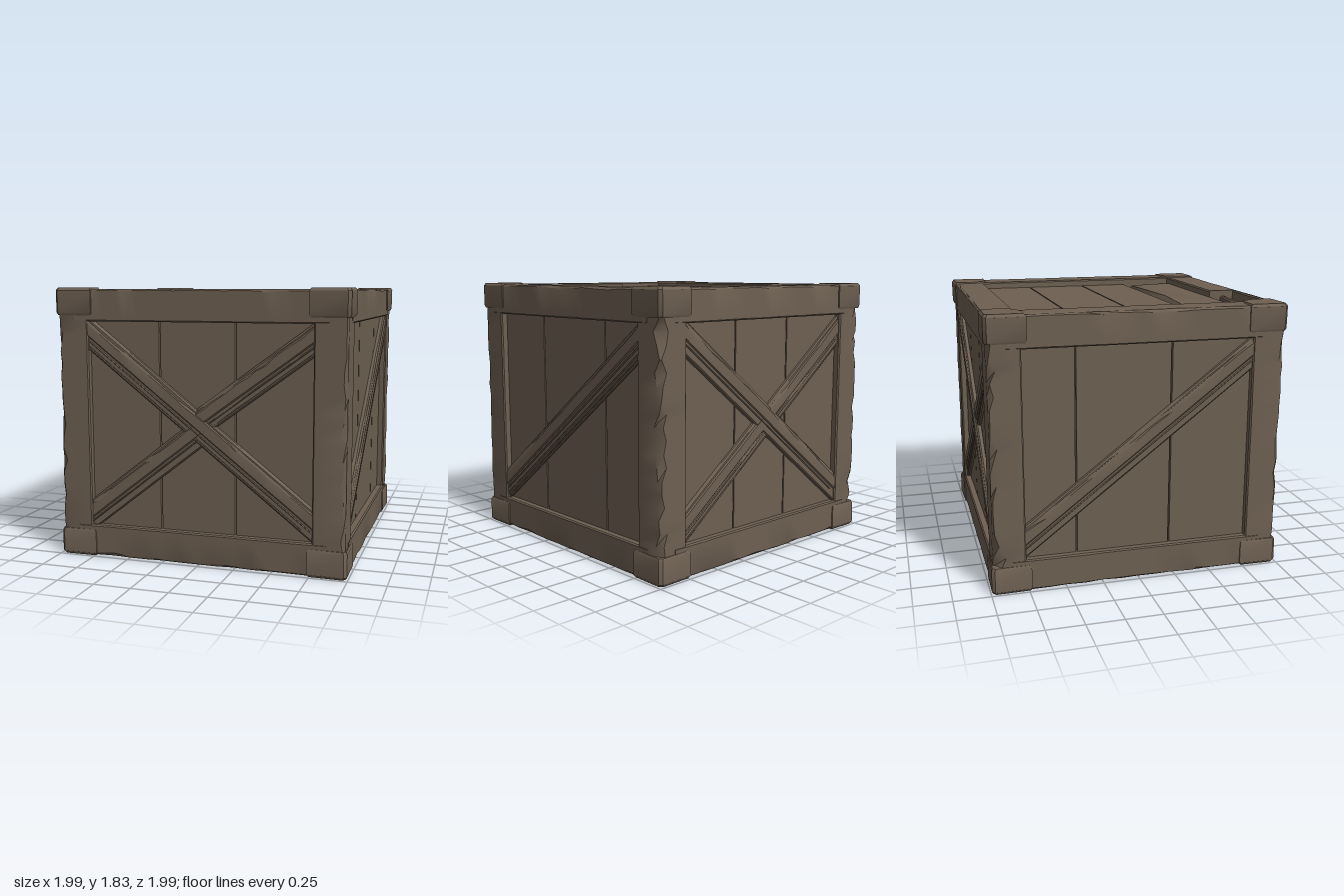
import * as THREE from 'three';
import { toCreasedNormals } from 'three/addons/utils/BufferGeometryUtils.js';

const wood = new THREE.MeshStandardMaterial({ color: 0x6e6052 });
wood.name = 'weatheredWood';

let seed = 7;
const rnd = () => (seed = (seed * 16807) % 2147483647) / 2147483647;
const V = (x, y, z) => new THREE.Vector3(x, y, z);

// Closed skin over a list of rings; each ring runs counterclockwise seen from the far end
function loft(rings) {
  const n = rings[0].length, pos = [];
  const tri = (...ps) => ps.forEach(p => pos.push(p.x, p.y, p.z));
  for (let i = 0; i < rings.length - 1; i++) {
    for (let j = 0; j < n; j++) {
      const k = (j + 1) % n, r = rings[i], s = rings[i + 1];
      tri(r[j], r[k], s[k]);
      tri(r[j], s[k], s[j]);
    }
  }
  const first = rings[0], last = rings[rings.length - 1];
  for (let j = 1; j < n - 1; j++) {
    tri(first[0], first[j + 1], first[j]);
    tri(last[0], last[j], last[j + 1]);
  }
  const g = new THREE.BufferGeometry();
  g.setAttribute('position', new THREE.Float32BufferAttribute(pos, 3));
  return toCreasedNormals(g, 0.6);
}

function add(group, name, geometry) {
  const m = new THREE.Mesh(geometry, wood);
  m.name = name;
  group.add(m);
  return m;
}

// Beam from a to b with its wide face towards out; wear chips the one exposed edge
function beam(group, name, a, b, out, w, d, wear = 0.015, segs = 14) {
  const len = a.distanceTo(b), rings = [];
  const corners = [[1, -1], [1, 1], [-1, 1], [-1, -1]];
  for (let i = 0; i <= segs; i++) {
    const x = (i / segs) * len, ring = [];
    corners.forEach(([sy, sz], q) => {
      const chip = q === 1 ? wear : 0.003;
      const c = 0.008 + chip * rnd() * rnd(), e = 0.008 + chip * rnd() * rnd();
      const p = V(x, sy * (w / 2 - c), sz * d / 2), r = V(x, sy * w / 2, sz * (d / 2 - e));
      ring.push(...(q % 2 ? [r, p] : [p, r]));
    });
    rings.push(ring);
  }
  const m = add(group, name, loft(rings));
  const X = b.clone().sub(a).normalize(), Y = out.clone().cross(X).normalize();
  m.quaternion.setFromRotationMatrix(new THREE.Matrix4().makeBasis(X, Y, X.clone().cross(Y)));
  m.position.copy(a);
  return m;
}

// Diagonal brace: a broad board, a ridge and a few splintered strands
function brace(group, name, a, b, strands = 2) {
  const g = new THREE.Group(), out = V(0, 0, 1);
  g.name = name;
  const up = out.clone().cross(b.clone().sub(a)).normalize();
  const shift = (p, s, z) => p.clone().addScaledVector(up, s).setZ(p.z + z);
  beam(g, 'braceBoard', a, b, out, 0.17, 0.05, 0.01, 8);
  beam(g, 'braceRidge', shift(a, 0.025, 0.015), shift(b, 0.025, 0.015), out, 0.085, 0.04, 0.02);
  for (let i = 0; i < strands; i++) {
    const s = -0.035 - i * 0.03, t = 0.08 * rnd();
    beam(g, 'braceStrand', shift(a, s, 0.016 - i * 0.004),
      shift(a.clone().lerp(b, 1 - t), s, 0.016 - i * 0.004), out, 0.018, 0.03, 0.008, 8);
  }
  group.add(g);
}

// Wall with upright planks between the given seams, built facing +z, then turned about y
function wall(root, name, turn, seams, build) {
  const g = new THREE.Group();
  g.name = name;
  for (let i = 0; i < seams.length - 1; i++) {
    const w = seams[i + 1] - seams[i] - 0.01;
    const m = add(g, 'wallPlank', new THREE.BoxGeometry(w, 1.5, 0.04));
    m.position.set((seams[i] + seams[i + 1]) / 2, 0.91, 0.913);
  }
  build(g);
  g.rotation.y = turn;
  root.add(g);
}

// Corner cap: a square block with the inward corner cut off and soft edges
function cap(root, sx, sy, sz) {
  const outline = [[-0.995, -0.975], [-0.975, -0.995], [-0.735, -0.99], [-0.725, -0.86],
    [-0.775, -0.76], [-0.87, -0.73], [-0.99, -0.73]];
  const ringAt = (y, shrink) => outline.map(([x, z]) =>
    V((0.87 - (x + 0.87) * shrink) * sx, y * sy, (0.87 - (z + 0.87) * shrink) * sz));
  const rings = [ringAt(0, 0.9), ringAt(-0.018, 1), ringAt(-0.165, 0.99), ringAt(-0.182, 0.93)];
  // Mirroring flips the winding, so the ring order is reversed to suit
  if (sx * sy * sz < 0) rings.forEach(r => r.reverse());
  add(root, 'cornerCap', loft(rings)).position.y = sy > 0 ? 1.825 : 0;
}

export function createModel() {
  const root = new THREE.Group();
  root.name = 'woodenCrate';

  // Corner posts, worn along the outer edge and most at the back
  for (const sx of [-1, 1]) for (const sz of [-1, 1]) {
    const t = -sx * sz * 0.74;
    beam(root, 'cornerPost', V(sx * 0.872, 0.905 - t, sz * 0.872), V(sx * 0.872, 0.905 + t, sz * 0.872),
      V(0, 0, sz), 0.214, 0.214, sz < 0 ? 0.08 : 0.04, 18);
    for (const sy of [-1, 1]) cap(root, sx, sy, sz);
  }

  // Rails round the top and bottom; the top front one is made separately
  for (const s of [-1, 1]) for (const [y, sy] of [[0.112, -1], [1.71, 1]]) {
    const t = 0.86 * s * sy;
    beam(root, 'sideRail', V(s * 0.875, y, t), V(s * 0.875, y, -t), V(s, 0, 0), 0.212, 0.212, 0.02);
    if (s < 0 || sy < 0)
      beam(root, s < 0 ? 'backRail' : 'frontRail', V(-t, y, s * 0.875), V(t, y, s * 0.875),
        V(0, 0, s), 0.212, 0.212, 0.02);
  }

  // Broken top front rail: sound on one side, hollowed behind a thin lip on the other
  beam(root, 'frontRail', V(-0.18, 1.71, 0.875), V(0.86, 1.71, 0.875), V(0, 0, 1), 0.212, 0.212, 0.02);
  beam(root, 'brokenRailLip', V(-0.86, 1.71, 0.966), V(-0.17, 1.71, 0.966), V(0, 0, 1), 0.212, 0.03, 0.01);
  beam(root, 'brokenRailCore', V(-0.86, 1.675, 0.9), V(-0.17, 1.675, 0.9), V(0, 0, 1), 0.14, 0.12, 0.02);
  beam(root, 'brokenRailSplinter', V(-0.72, 1.73, 0.875), V(-0.17, 1.75, 0.875), V(0, 0, 1), 0.05, 0.04, 0.01);
  beam(root, 'brokenRailInnerEdge', V(-0.86, 1.655, 0.81), V(-0.17, 1.655, 0.81), V(0, 0, 1), 0.1, 0.08, 0.01);

  // Lid and floor planks with narrow open gaps
  const seams = [-0.8, -0.395, 0.035, 0.395, 0.8];
  for (const y of [0.072, 1.748]) for (let i = 0; i < 4; i++) {
    if (y > 1 && i === 3) continue;
    const m = add(root, y > 1 ? 'lidPlank' : 'floorPlank',
      new THREE.BoxGeometry(1.6, 0.04, seams[i + 1] - seams[i] - 0.008));
    m.position.set(0, y, (seams[i] + seams[i + 1]) / 2);
  }

  // Warped lid plank with a raised, battered top
  const plan = (pts, y) => pts.map(([x, z]) => V(x, y, z));
  const edge = [[-0.79, 0.8], [0, 0.8], [0.79, 0.8], [0.79, 0.6], [0.79, 0.4], [0, 0.4], [-0.79, 0.4], [-0.79, 0.6]];
  const crown = [[-0.74, 0.77], [0, 0.76], [0.74, 0.77], [0.71, 0.6], [0.66, 0.43], [0, 0.485], [-0.66, 0.43], [-0.71, 0.6]];
  add(root, 'warpedLidPlank', loft([plan(edge, 1.67), plan(edge, 1.69), plan(crown, 1.77)]));

  // Front wall: one whole brace over a snapped one
  wall(root, 'frontWall', 0, [-0.8, -0.27, 0.25, 0.8], g => {
    brace(g, 'wholeBrace', V(-0.84, 1.58, 0.94), V(0.84, 0.27, 0.94));
    brace(g, 'snappedBraceLower', V(-0.84, 0.23, 0.932), V(0.02, 0.9, 0.932), 1);
    brace(g, 'snappedBraceUpper', V(0.02, 0.96, 0.936), V(0.84, 1.56, 0.936), 2);
  });

  // Back wall: crossed braces
  wall(root, 'backWall', Math.PI, [-0.8, -0.29, 0.22, 0.8], g => {
    brace(g, 'wholeBrace', V(-0.84, 1.58, 0.94), V(0.84, 0.27, 0.94), 1);
    brace(g, 'crossBrace', V(-0.84, 0.26, 0.932), V(0.84, 1.54, 0.932));
  });

  // Side walls: a single brace each
  wall(root, 'leftWall', Math.PI / 2, [-0.8, -0.285, 0.4, 0.8], g =>
    brace(g, 'sideBrace', V(-0.84, 0.28, 0.94), V(0.84, 1.56, 0.94), 3));
  wall(root, 'rightWall', -Math.PI / 2, [-0.8, -0.42, 0.22, 0.8], g =>
    brace(g, 'sideBrace', V(-0.84, 0.28, 0.94), V(0.84, 1.56, 0.94), 1));

  return root;
}
